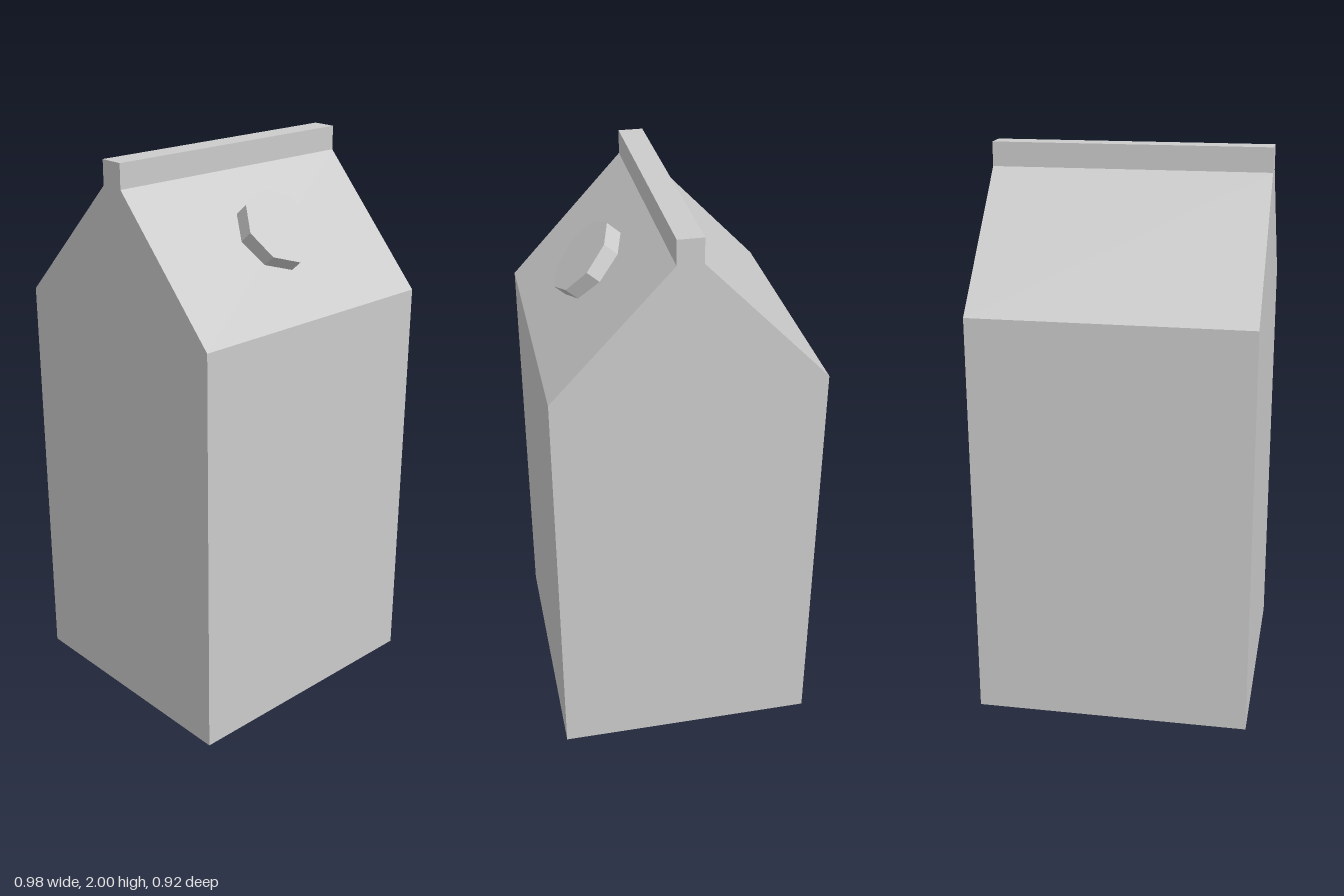
import * as THREE from 'three';

export function createModel() {
  const group = new THREE.Group();
  const material = new THREE.MeshStandardMaterial({ color: 0xcccccc, flatShading: true });
  const width = 0.98;

  // Carton: side profile (z, y) with gable roof and top seal, extruded across x
  const profile = new THREE.Shape([
    [0.46, 0], [0.46, 1.475], [0.052, 1.915], [0.052, 2],
    [-0.035, 2], [-0.035, 1.915], [-0.46, 1.475], [-0.46, 0],
  ].map(([z, y]) => new THREE.Vector2(z, y)));
  const cartonGeometry = new THREE.ExtrudeGeometry(profile, { depth: width, bevelEnabled: false });
  cartonGeometry.translate(0, 0, -width / 2).rotateY(-Math.PI / 2);
  const carton = new THREE.Mesh(cartonGeometry, material);
  carton.name = 'carton';
  group.add(carton);

  // Octagonal screw cap lying on the front roof slope
  const cap = new THREE.Mesh(new THREE.CylinderGeometry(0.142, 0.142, 0.06, 8), material);
  cap.name = 'cap';
  cap.position.set(0.008, 1.736, 0.253);
  cap.rotation.x = 0.853;
  group.add(cap);

  return group;
}
